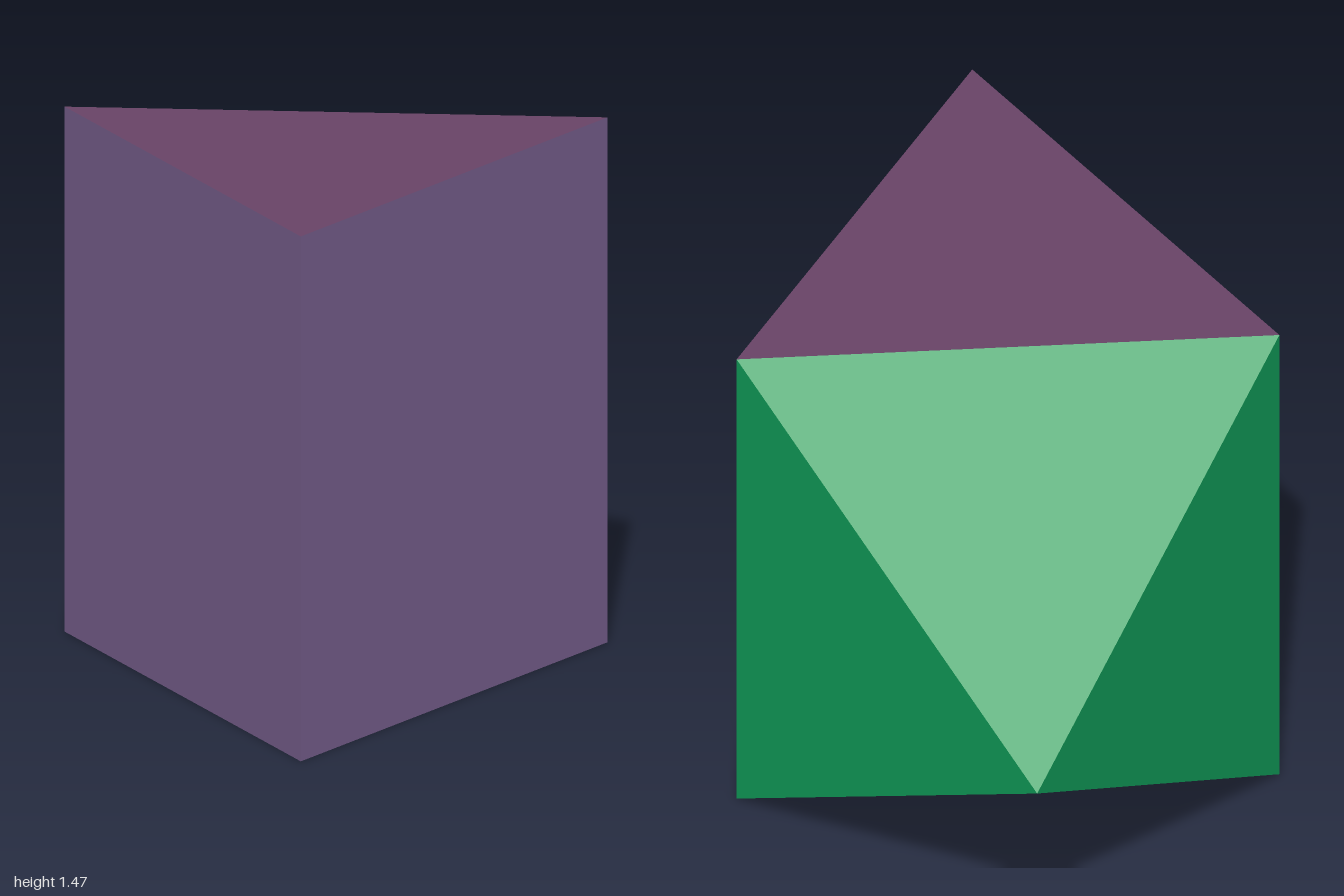
import * as THREE from 'three';

// Triangular prism with a square pyramid set on one of its sides; all edges equal.
export function createModel() {
  const model = new THREE.Group();
  model.name = 'augmentedPrism';

  const material = (name, color) => {
    const m = new THREE.MeshStandardMaterial({ color });
    m.name = name;
    return m;
  };
  const violet = material('violet', 0x785f8e);
  const plum = material('plum', 0x694367);
  const green = material('green', 0x109a57);

  const edge = 1.467;
  const half = edge * Math.sqrt(3) / 4; // half the prism's width in x
  // Prism corners seen from above: front, side, back
  const plan = [[-half, 1], [half, 1 - edge / 2], [-half, 1 - edge]];
  const low = plan.map(([x, z]) => new THREE.Vector3(x, 0, z));
  const high = plan.map(([x, z]) => new THREE.Vector3(x, edge, z));

  // Pyramid tip, square to the middle of the side between corners 1 and 2
  const tip = low[1].clone().add(high[2]).multiplyScalar(0.5)
    .addScaledVector(new THREE.Vector3(0.5, 0, -Math.sqrt(3) / 2), edge * Math.SQRT1_2);

  // Flat convex face, corners counterclockwise from outside
  const face = (name, corners, mat) => {
    const points = [];
    for (let i = 1; i < corners.length - 1; i++) {
      points.push(corners[0], corners[i], corners[i + 1]);
    }
    const geometry = new THREE.BufferGeometry().setFromPoints(points);
    geometry.computeVertexNormals();
    const mesh = new THREE.Mesh(geometry, mat);
    mesh.name = name;
    model.add(mesh);
  };

  // Prism: two open sides and both ends
  face('frontSquare', [low[0], low[1], high[1], high[0]], violet);
  face('sideSquare', [low[2], low[0], high[0], high[2]], violet);
  face('topTriangle', high, plum);
  face('bottomTriangle', [...low].reverse(), plum);

  // Pyramid: four triangles around the third side
  const rim = [low[1], low[2], high[2], high[1]];
  rim.forEach((corner, i) => {
    face('pyramidTriangle' + (i + 1), [corner, rim[(i + 1) % 4], tip], green);
  });

  return model;
}
